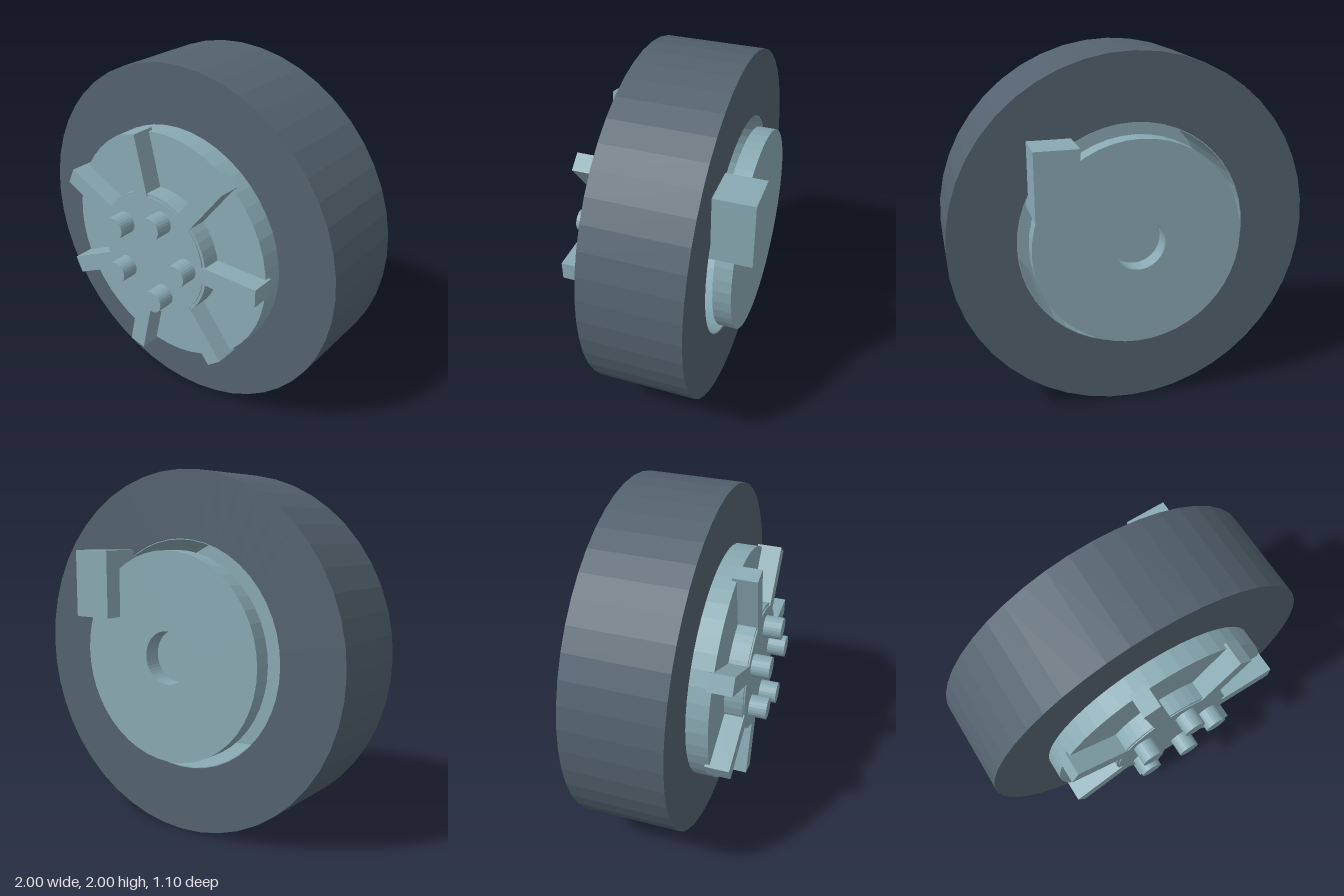
import * as THREE from 'three';

const rubber = new THREE.MeshStandardMaterial({ color: 0x53626e });
rubber.name = 'dark rubber';
const metal = new THREE.MeshStandardMaterial({ color: 0x89a9b2 });
metal.name = 'pale metal';

// Flat facets through per-face normals
function faceted(geometry) {
  const flat = geometry.index ? geometry.toNonIndexed() : geometry;
  flat.computeVertexNormals();
  return flat;
}

function add(parent, name, geometry, material) {
  const mesh = new THREE.Mesh(faceted(geometry), material);
  mesh.name = name;
  parent.add(mesh);
  return mesh;
}

// Solid of revolution about z from an anticlockwise [radius, z] profile
function turned(profile, sides = 48) {
  const points = profile.map(([r, z]) => new THREE.Vector2(r, z));
  return new THREE.LatheGeometry(points, sides).rotateX(Math.PI / 2);
}

// Cylinder along z between two depths
function rod(radius, back, front, sides = 48) {
  return new THREE.CylinderGeometry(radius, radius, front - back, sides)
    .rotateX(Math.PI / 2)
    .translate(0, 0, (front + back) / 2);
}

export function createModel() {
  const model = new THREE.Group();
  model.name = 'wheelAssembly';
  const wheel = new THREE.Group();
  wheel.name = 'wheel';
  wheel.position.y = 1;
  model.add(wheel);

  // Tyre with a square section
  add(wheel, 'tyre', turned([
    [0.635, -0.33], [1, -0.33], [1, 0.22], [0.635, 0.22], [0.635, -0.33],
  ]), rubber);

  // Rim: open barrel at the back, closed face at the front
  add(wheel, 'rim', turned([
    [0, 0.24], [0.63, 0.24], [0.63, -0.325], [0.667, -0.325], [0.667, 0.34], [0, 0.34],
  ]), metal);

  // Stepped hub
  add(wheel, 'hubBase', rod(0.362, 0.3, 0.443), metal);
  add(wheel, 'hubCap', rod(0.346, 0.3, 0.45), metal);

  // Seven spokes
  for (let i = 0; i < 7; i++) {
    const geometry = new THREE.BoxGeometry(0.345, 0.1, 0.135).translate(0.5075, 0, 0.3825);
    add(wheel, 'spoke', geometry, metal).rotation.z = (i * Math.PI * 2) / 7;
  }

  // Five wheel bolts
  for (let i = 0; i < 5; i++) {
    const a = (i * Math.PI * 2) / 5;
    add(wheel, 'bolt', rod(0.062, 0.4, 0.55, 24), metal)
      .position.set(0.237 * Math.cos(a), 0.237 * Math.sin(a), 0);
  }

  // Axle hub behind the wheel
  add(wheel, 'axleHub', rod(0.175, -0.352, 0.26), metal);

  // Brake disc with a centre hole
  add(wheel, 'brakeDisc', turned([
    [0.145, -0.45], [0.575, -0.45], [0.575, -0.35], [0.145, -0.35], [0.145, -0.45],
  ]), metal);

  // Caliper straddling the disc
  add(wheel, 'caliper',
    new THREE.BoxGeometry(0.232, 0.37, 0.3).translate(0.449, 0.385, -0.4), metal);

  return model;
}
